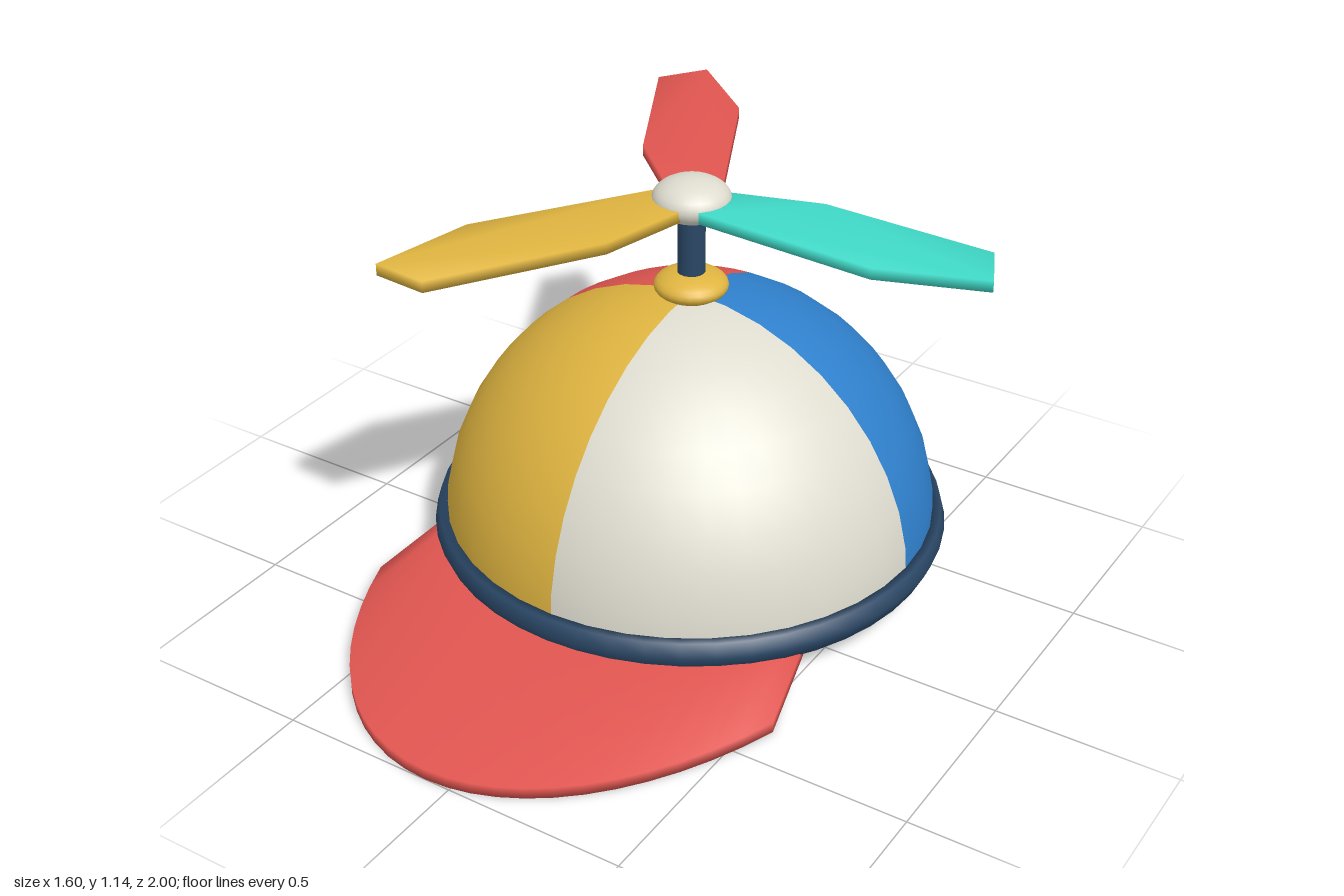
import * as THREE from 'three';
import { mergeVertices } from 'three/addons/utils/BufferGeometryUtils.js';

const mat = (name, color, side = THREE.FrontSide) => {
  const m = new THREE.MeshStandardMaterial({ color, side });
  m.name = name;
  return m;
};

// Weld all corners so the shading runs smoothly over the edges
function soften(geometry) {
  geometry.deleteAttribute('normal');
  geometry.deleteAttribute('uv');
  const g = mergeVertices(geometry, 1e-4);
  g.computeVertexNormals();
  return g;
}

// Curved brim: a four-cornered section swept from the band to an elliptical edge
function visorGeometry() {
  const steps = 24, pos = [], index = [];
  for (let i = 0; i <= steps; i++) {
    const a = (i / steps * 2 - 1) * Math.PI / 3;
    const s = Math.sin(a), c = Math.cos(a);
    pos.push(0.665 * s, 0.095, 0.70 * c, 0.733 * s, 0.032, 1.235 * c);
    pos.push(0.733 * s, 0, 1.235 * c, 0.665 * s, 0.065, 0.70 * c);
    if (i === steps) break;
    for (let j = 0; j < 4; j++) {
      const k = (j + 1) % 4, p = i * 4, q = p + 4;
      index.push(p + j, p + k, q + k, p + j, q + k, q + j);
    }
  }
  const e = steps * 4;
  index.push(0, 2, 1, 0, 3, 2, e, e + 1, e + 2, e, e + 2, e + 3);
  const g = new THREE.BufferGeometry();
  g.setAttribute('position', new THREE.Float32BufferAttribute(pos, 3));
  g.setIndex(index);
  g.computeVertexNormals();
  return g;
}

// Flat angular blade pointing along +x
function bladeGeometry() {
  const outline = [[0.07, -0.08], [0.59, -0.115], [0.875, -0.015], [0.81, 0.125], [0.32, 0.145], [0.07, 0.07]];
  const shape = new THREE.Shape(outline.map(([x, y]) => new THREE.Vector2(x, y)));
  const g = new THREE.ExtrudeGeometry(shape, { depth: 0.032, bevelEnabled: false });
  g.rotateX(-Math.PI / 2);
  return soften(g);
}

export function createModel() {
  const cap = new THREE.Group();
  cap.name = 'propellerCap';
  const yellow = mat('yellow', 0xdfb440, THREE.DoubleSide);
  const cream = mat('cream', 0xdedccf, THREE.DoubleSide);
  const blue = mat('blue', 0x2f80cc, THREE.DoubleSide);
  const red = mat('red', 0xe05550, THREE.DoubleSide);
  const navy = mat('navy', 0x2a4766);
  const teal = mat('teal', 0x40dac8);

  const add = (name, geometry, material, y = 0) => {
    const m = new THREE.Mesh(geometry, material);
    m.name = name;
    m.position.y = y;
    cap.add(m);
    return m;
  };

  // Dome in four coloured quarters, open underneath
  const quarters = [['frontRight', yellow], ['frontLeft', cream], ['backLeft', blue], ['backRight', red]];
  quarters.forEach(([name, material], i) => {
    const g = new THREE.SphereGeometry(0.69, 10, 10, i * Math.PI / 2, Math.PI / 2, 0, Math.PI / 2);
    add(name + 'Panel', g, material, 0.115);
  });

  // Rim band
  const rim = [[0.682, 0.08], [0.705, 0.08], [0.722, 0.12], [0.71, 0.163], [0.682, 0.163], [0.682, 0.08]];
  add('band', new THREE.LatheGeometry(rim.map(([r, y]) => new THREE.Vector2(r, y)), 48), navy);

  add('visor', visorGeometry(), red);

  // Button, stem and hub
  const ellipsoid = (r, h) => new THREE.SphereGeometry(r, 24, 14).scale(1, h / r, 1);
  add('button', ellipsoid(0.102, 0.042), yellow, 0.833);
  add('stem', new THREE.CylinderGeometry(0.038, 0.038, 0.24, 16), navy, 0.95);
  add('hub', ellipsoid(0.107, 0.06), cream, 1.085);

  // Propeller blades
  const blade = bladeGeometry();
  [teal, red, yellow].forEach((material, i) => {
    add('blade' + (i + 1), blade, material, 1.06).rotation.y = i * Math.PI * 2 / 3;
  });

  cap.position.set(-0.075, 0, -0.235);
  const model = new THREE.Group();
  model.name = 'model';
  model.add(cap);
  return model;
}
